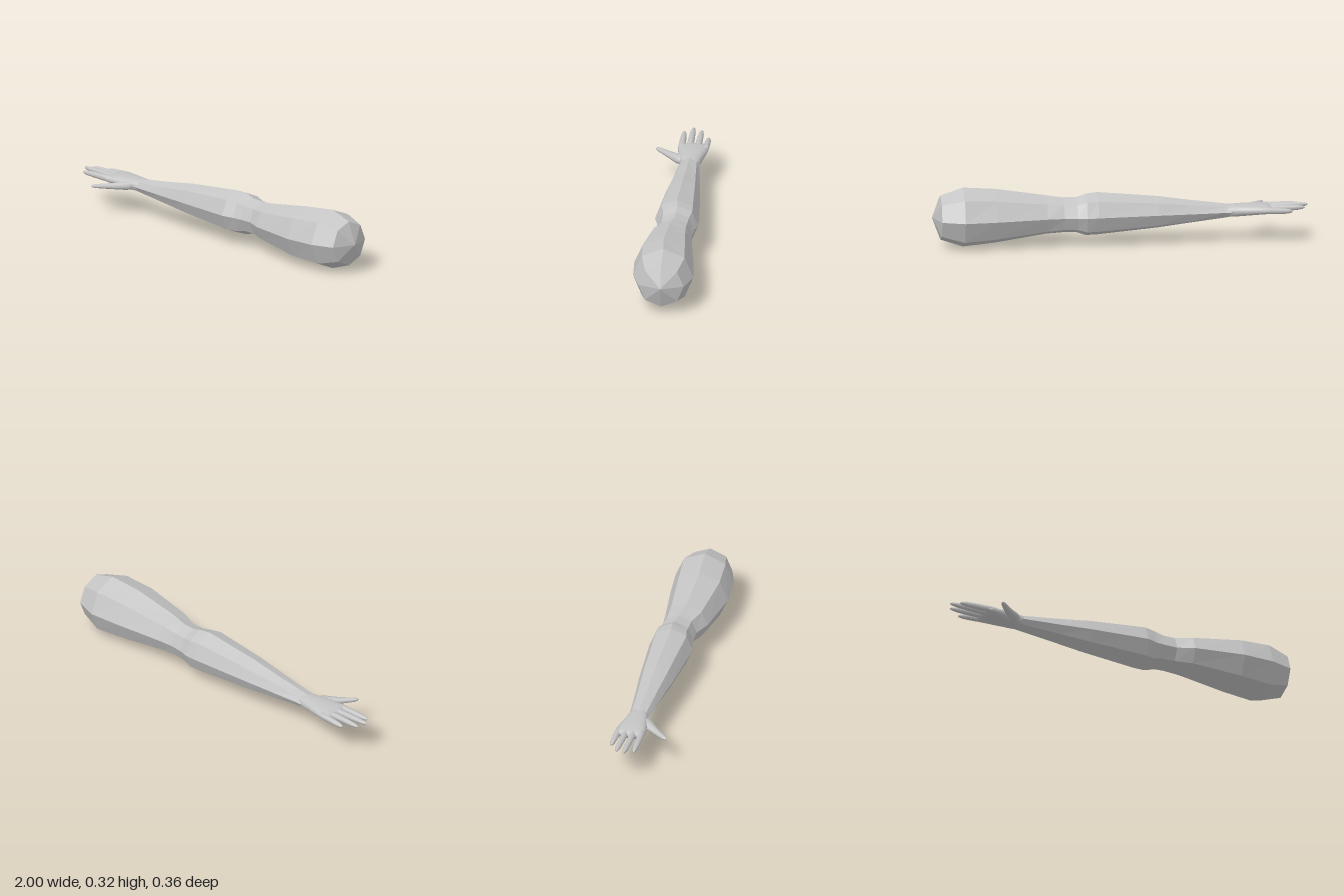
import * as THREE from 'three';

const skin = new THREE.MeshStandardMaterial({ color: 0xc4c4c4 });
skin.name = 'plain grey';

// Joins rings [x, y, z, halfWidth, halfHeight] that all face along one direction.
// power < 1 makes the rings more square; zero-sized rings close the ends.
function loft(name, rings, sides, { flat = false, power = 1 } = {}) {
  const up = new THREE.Vector3(0, 1, 0);
  const first = new THREE.Vector3(...rings[0].slice(0, 3));
  const last = new THREE.Vector3(...rings[rings.length - 1].slice(0, 3));
  const across = last.sub(first).cross(up).normalize();
  const bend = (v) => Math.sign(v) * Math.pow(Math.abs(v), power);
  const positions = [];
  const indices = [];
  for (const [x, y, z, w, h] of rings) {
    for (let j = 0; j < sides; j++) {
      const a = (j / sides) * Math.PI * 2;
      const c = bend(Math.cos(a)) * w;
      positions.push(x + across.x * c, y + bend(Math.sin(a)) * h, z + across.z * c);
    }
  }
  for (let i = 0; i < rings.length - 1; i++) {
    for (let j = 0; j < sides; j++) {
      const k = (j + 1) % sides;
      const a = i * sides + j, b = i * sides + k;
      const c = a + sides, d = b + sides;
      if (rings[i + 1][3] > 0) indices.push(a, c, d);
      if (rings[i][3] > 0) indices.push(a, d, b);
    }
  }
  let geometry = new THREE.BufferGeometry();
  geometry.setAttribute('position', new THREE.Float32BufferAttribute(positions, 3));
  geometry.setIndex(indices);
  if (flat) geometry = geometry.toNonIndexed();
  geometry.computeVertexNormals();
  const mesh = new THREE.Mesh(geometry, skin);
  mesh.name = name;
  return mesh;
}

export function createModel() {
  const model = new THREE.Group();
  model.name = 'arm';

  // Eight-sided arm from wrist to shoulder: x, top, bottom, back, front
  const outline = [
    [-0.60, 0.196, 0.132, -0.074, 0.034],
    [-0.55, 0.203, 0.124, -0.076, 0.038],
    [-0.37, 0.226, 0.102, -0.094, 0.054],
    [-0.20, 0.251, 0.08, -0.113, 0.072],
    [0.12, 0.28, 0.05, -0.14, 0.095],
    [0.18, 0.275, 0.05, -0.14, 0.077],
    [0.23, 0.258, 0.066, -0.127, 0.072],
    [0.30, 0.256, 0.067, -0.121, 0.07],
    [0.39, 0.266, 0.057, -0.128, 0.108],
    [0.66, 0.306, 0.014, -0.163, 0.15],
    [0.83, 0.32, 0.0, -0.18, 0.14],
    [0.95, 0.28, 0.04, -0.14, 0.10],
  ];
  const armRings = outline.map(([x, t, b, back, front]) =>
    [x, (t + b) / 2, (back + front) / 2, (front - back) / 2, (t - b) / 2]);
  armRings.unshift([-0.61, 0.164, -0.02, 0, 0]);
  armRings.push([0.995, 0.16, -0.02, 0, 0]);
  model.add(loft('upperArmAndForearm', armRings, 8, { flat: true }));

  // Hand: flattened palm, four fingers and a thumb
  const hand = new THREE.Group();
  hand.name = 'hand';
  hand.add(loft('palm', [
    [-0.53, 0.164, -0.02, 0, 0],
    [-0.54, 0.164, -0.02, 0.045, 0.03],
    [-0.60, 0.165, -0.02, 0.054, 0.032],
    [-0.65, 0.167, -0.018, 0.063, 0.031],
    [-0.71, 0.17, -0.02, 0.074, 0.028],
    [-0.77, 0.171, -0.02, 0.083, 0.023],
    [-0.80, 0.172, -0.02, 0.081, 0.017],
    [-0.81, 0.172, -0.02, 0, 0],
  ], 16, { power: 0.8 }));

  // Base z, tip z, tip x and tip height of each finger
  const fingers = [
    ['littleFinger', -0.083, -0.089, -0.91, 0.168],
    ['ringFinger', -0.042, -0.045, -0.98, 0.178],
    ['middleFinger', 0.0, 0.0, -1.0, 0.184],
    ['indexFinger', 0.042, 0.046, -0.965, 0.176],
  ];
  for (const [name, z0, z1, tipX, tipY] of fingers) {
    const profile = [[0, 0], [0.03, 0.019], [0.3, 0.018], [0.55, 0.017],
      [0.8, 0.0145], [0.95, 0.009], [1, 0]];
    hand.add(loft(name, profile.map(([t, r]) => [
      THREE.MathUtils.lerp(-0.75, tipX, t),
      THREE.MathUtils.lerp(0.173, tipY, t),
      THREE.MathUtils.lerp(z0, z1, t), r, r * 0.95,
    ]), 8));
  }

  hand.add(loft('thumb', [
    [-0.60, 0.165, -0.02, 0, 0],
    [-0.615, 0.165, 0.0, 0.03, 0.022],
    [-0.65, 0.162, 0.04, 0.036, 0.024],
    [-0.69, 0.16, 0.083, 0.025, 0.018],
    [-0.73, 0.16, 0.125, 0.018, 0.014],
    [-0.76, 0.161, 0.158, 0.014, 0.011],
    [-0.771, 0.162, 0.171, 0.009, 0.007],
    [-0.776, 0.162, 0.178, 0, 0],
  ], 8));
  model.add(hand);

  return model;
}
